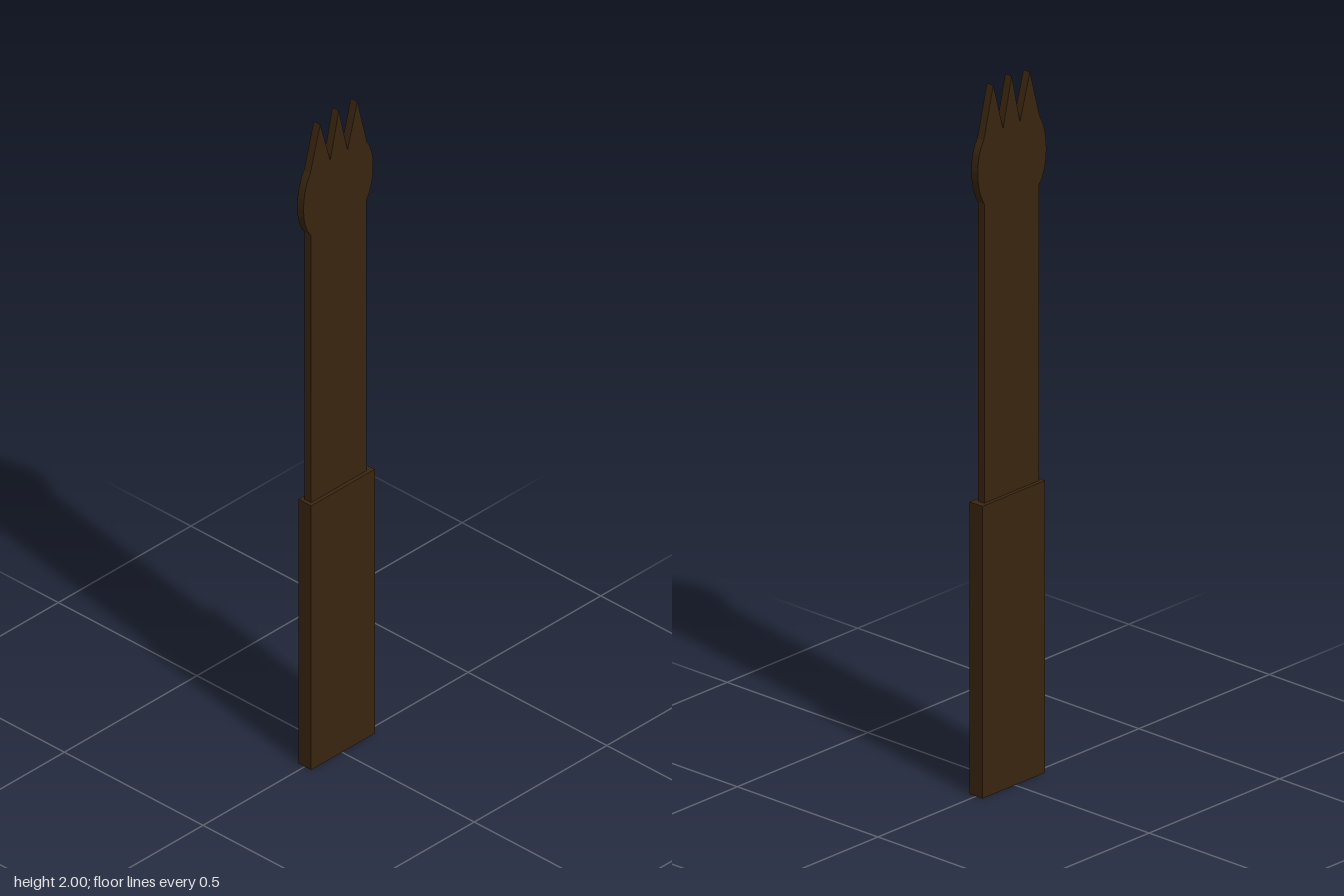
import * as THREE from 'three';

export function createModel() {
  const group = new THREE.Group();
  const darkWood = new THREE.MeshStandardMaterial({ color: 0x3a2510 });
  darkWood.name = 'darkBrown';

  // Thick rectangular handle
  const handle = new THREE.Mesh(new THREE.BoxGeometry(0.046, 0.825, 0.24), darkWood);
  handle.name = 'handle';
  handle.position.set(0, 0.4125, -0.004);
  group.add(handle);

  // Thin blade with rounded cheeks and three points; outline x becomes model z
  const outline = new THREE.Shape();
  outline.moveTo(-0.105, 0.8);
  outline.lineTo(0.105, 0.8);
  outline.lineTo(0.105, 1.66);
  outline.bezierCurveTo(0.142, 1.7, 0.142, 1.8, 0.107, 1.855);
  outline.lineTo(0.07, 1.99);
  outline.lineTo(0.032, 1.86);
  outline.lineTo(0, 2);
  outline.lineTo(-0.033, 1.86);
  outline.lineTo(-0.07, 1.995);
  outline.lineTo(-0.107, 1.85);
  outline.bezierCurveTo(-0.138, 1.81, -0.138, 1.72, -0.105, 1.67);
  outline.closePath();

  const thickness = 0.023;
  const geometry = new THREE.ExtrudeGeometry(outline, {
    depth: thickness, bevelEnabled: false, curveSegments: 8,
  });
  geometry.translate(0, 0, -thickness / 2);
  geometry.rotateY(-Math.PI / 2);
  const blade = new THREE.Mesh(geometry, darkWood);
  blade.name = 'blade';
  group.add(blade);

  return group;
}
